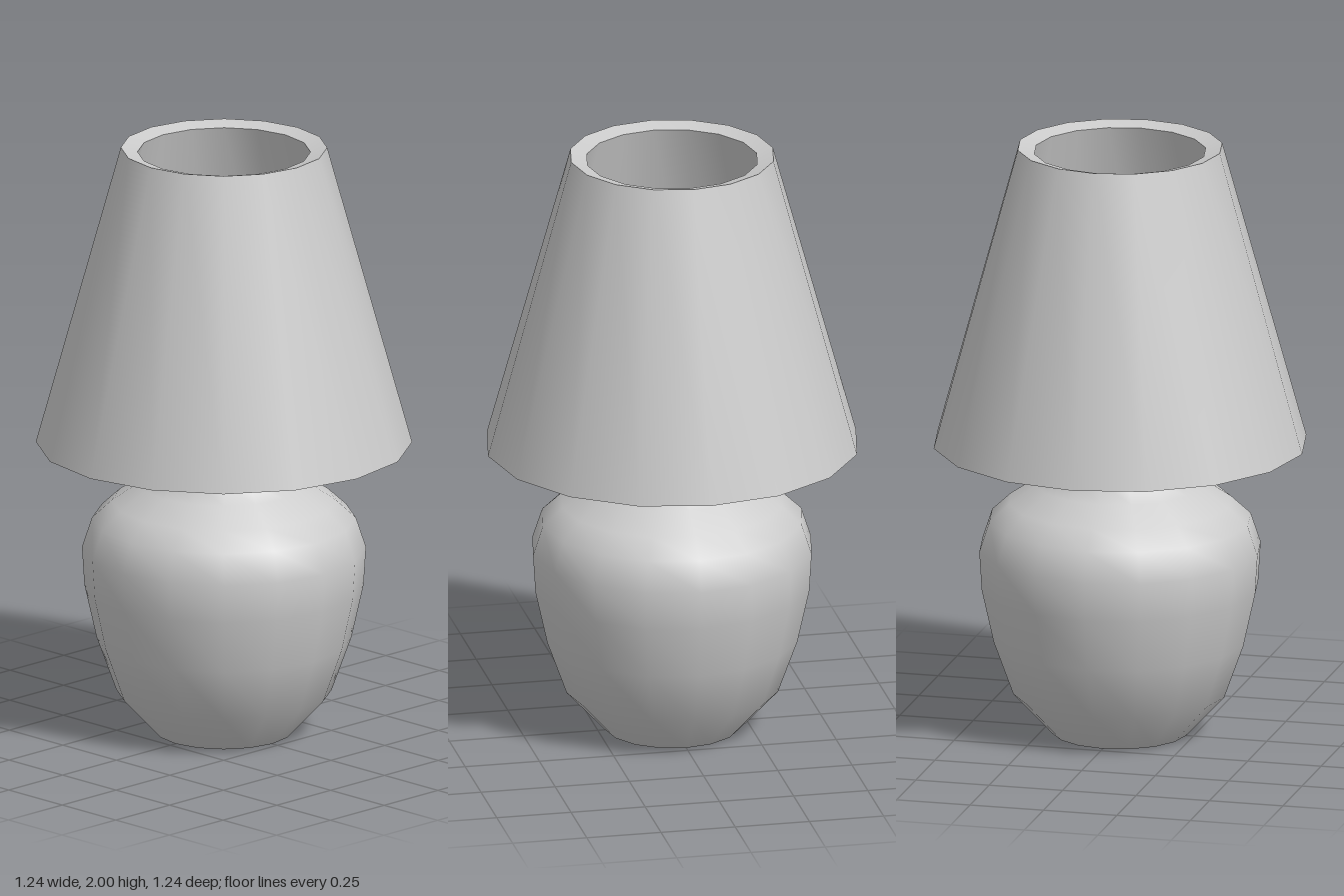
import * as THREE from 'three';
import { toCreasedNormals } from 'three/addons/utils/BufferGeometryUtils.js';

const material = new THREE.MeshStandardMaterial({ color: 0xcccccc });
const SIDES = 16;

// Revolve a list of [radius, height] points around the y axis
function turned(name, profile, sides = SIDES) {
  const points = profile.map(([r, y]) => new THREE.Vector2(r, y));
  const mesh = new THREE.Mesh(new THREE.LatheGeometry(points, sides), material);
  mesh.name = name;
  return mesh;
}

export function createModel() {
  const lamp = new THREE.Group();
  lamp.name = 'tableLamp';

  // Vase-shaped body with a narrow neck and a small domed collar
  lamp.add(turned('body', [
    [0.225, 0], [0.355, 0.14], [0.42, 0.32], [0.46, 0.5], [0.468, 0.63],
    [0.435, 0.73], [0.37, 0.79], [0.28, 0.85], [0.215, 0.9], [0.187, 0.97],
    [0.195, 1.0], [0.165, 1.04], [0.115, 1.065], [0.06, 1.08],
  ]));

  // Flat underside of the body
  const foot = new THREE.Mesh(new THREE.CircleGeometry(0.225, SIDES), material);
  foot.name = 'foot';
  foot.rotation.x = Math.PI / 2;
  lamp.add(foot);

  // Stem carrying a round-topped bulb
  lamp.add(turned('stem', [[0.068, 1.05], [0.068, 1.4]], 24));
  const bulb = new THREE.Mesh(new THREE.SphereGeometry(0.083, 32, 20), material);
  bulb.name = 'bulb';
  bulb.position.y = 1.43;
  lamp.add(bulb);

  // Thick tapered shade, open at both ends: outside, top rim, inside, bottom rim
  const shade = turned('shade', [
    [0.62, 0.99], [0.34, 2.0], [0.285, 1.985], [0.565, 0.975], [0.62, 0.99],
  ]);
  shade.geometry = toCreasedNormals(shade.geometry, 0.7);
  lamp.add(shade);

  return lamp;
}
